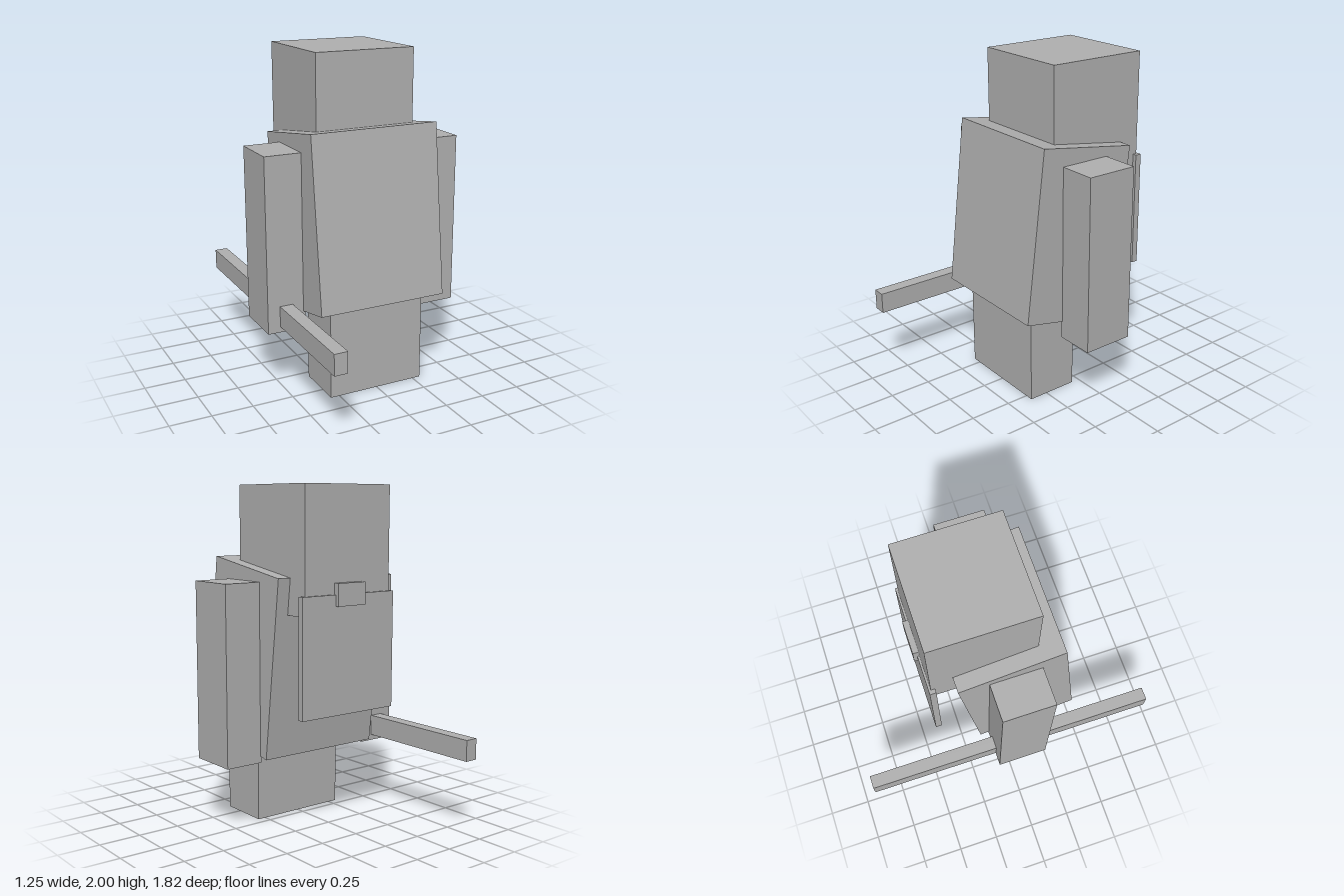
import * as THREE from 'three';

export function createModel() {
  const model = new THREE.Group();
  const grey = new THREE.MeshStandardMaterial({ color: 0xb0b0b0 });
  grey.name = 'plain grey';

  // Box given by its min and max on each axis
  function block(name, [x0, x1], [y0, y1], [z0, z1]) {
    const mesh = new THREE.Mesh(new THREE.BoxGeometry(x1 - x0, y1 - y0, z1 - z0), grey);
    mesh.position.set((x0 + x1) / 2, (y0 + y1) / 2, (z0 + z1) / 2);
    mesh.name = name;
    model.add(mesh);
  }

  // Head, legs and arms
  block('head', [-0.31, 0.31], [1.275, 2], [-0.415, 0.205]);
  block('legs', [-0.305, 0.3], [0, 0.65], [0.05, 0.365]);
  block('rightArm', [-0.625, -0.39], [0.405, 1.455], [-0.105, 0.205]);
  block('leftArm', [0.385, 0.62], [0.405, 1.455], [-0.105, 0.205]);

  // Staff held through the right hand
  block('staff', [-0.55, -0.47], [0.44, 0.565], [-0.91, 0.91]);

  // Thin panel hanging behind the back, with its clasp
  block('backPanel', [-0.335, 0.335], [0.7, 1.39], [-0.428, -0.39]);
  block('clasp', [-0.1, 0.1], [1.325, 1.455], [-0.45, -0.415]);

  // Torso: tilted side profile (z, y) extruded across the width
  const profile = new THREE.Shape([
    [0.455, 0.563], [0.335, 1.582], [-0.285, 1.485], [-0.16, 0.432],
  ].map(([z, y]) => new THREE.Vector2(z, y)));
  const torsoGeometry = new THREE.ExtrudeGeometry(profile, { depth: 0.795, bevelEnabled: false });
  torsoGeometry.rotateY(-Math.PI / 2).translate(0.392, 0, 0);
  const torso = new THREE.Mesh(torsoGeometry, grey);
  torso.name = 'torso';
  model.add(torso);

  return model;
}
